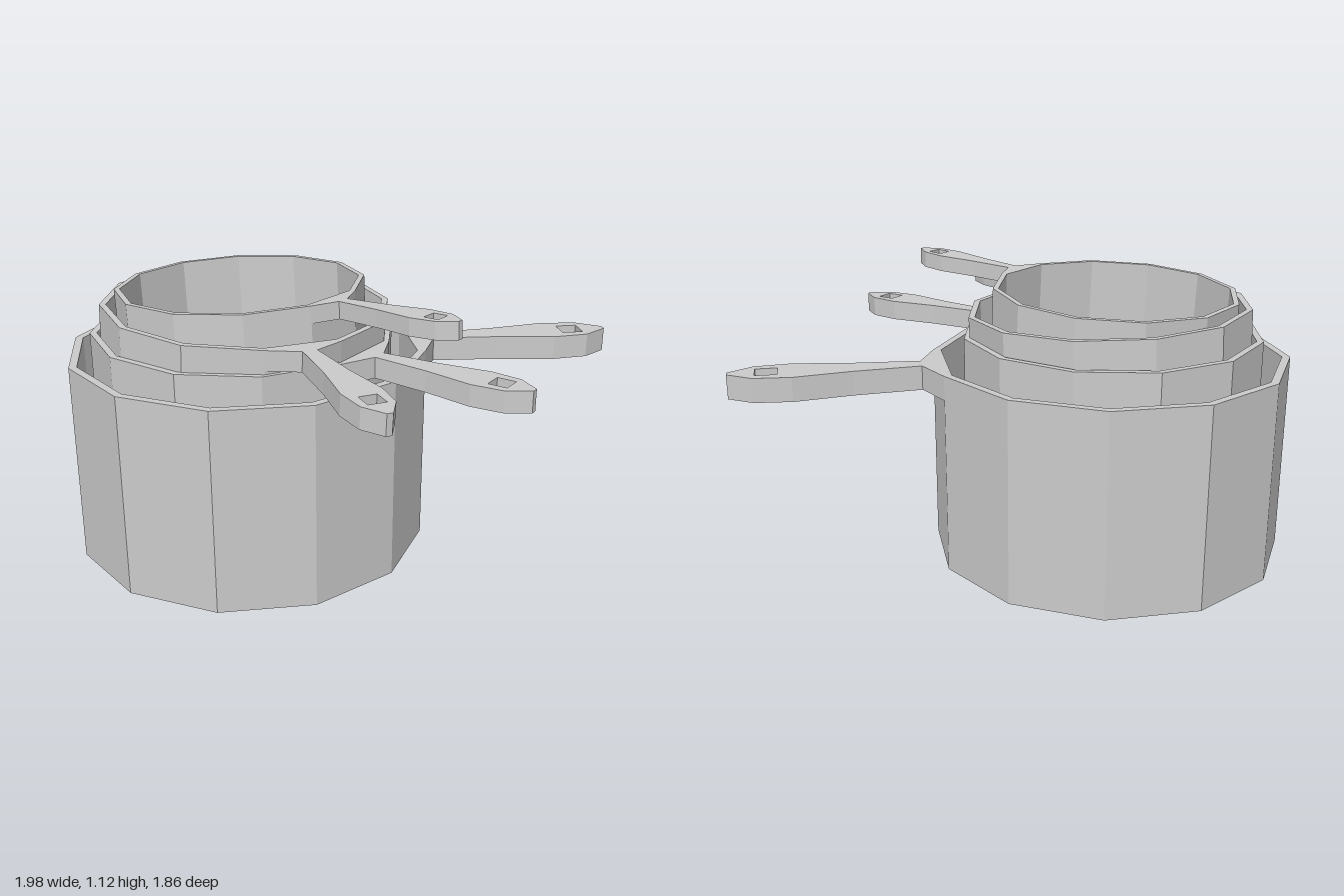
import * as THREE from 'three';

const DEG = Math.PI / 180;
const SIDES = 12;
const material = new THREE.MeshStandardMaterial({ color: 0xcccccc, flatShading: true });

// Twelve-sided open cup of radius 1, rim at y = 0, one flat side facing +x
function bowlGeometry() {
  const depth = 1.125, wall = 0.045;
  const profile = [
    [0, -depth], [1, -depth], [1, 0],
    [1 - wall, 0], [1 - wall, -depth + wall], [0, -depth + wall],
  ].map(([x, y]) => new THREE.Vector2(x, y));
  return new THREE.LatheGeometry(profile, SIDES, Math.PI / SIDES);
}

// Flat handle along +x: flared root, narrow neck, wide grip with a square hanging hole
function handleGeometry() {
  const a = Math.PI / SIDES;
  const edge = [
    [Math.cos(a), Math.sin(a)], [1.06, 0.05], [1.43, 0.08], [1.56, 0.1],
    [1.75, 0.13], [1.955, 0.11], [2.09, 0.02],
  ];
  const lower = edge.map(([x, y]) => new THREE.Vector2(x, -y));
  const upper = edge.map(([x, y]) => new THREE.Vector2(x, y)).reverse();
  const shape = new THREE.Shape([...lower, ...upper]);
  const h = 0.06, c = 1.885;
  shape.holes.push(new THREE.Path([
    new THREE.Vector2(c - h, -h), new THREE.Vector2(c - h, h),
    new THREE.Vector2(c + h, h), new THREE.Vector2(c + h, -h),
  ]));
  const geometry = new THREE.ExtrudeGeometry(shape, { depth: 0.135, bevelEnabled: false });
  return geometry.rotateX(Math.PI / 2);
}

export function createModel() {
  const model = new THREE.Group();
  model.name = 'nestedMeasuringCups';
  const bowl = bowlGeometry();
  const handle = handleGeometry();

  // Nested cups: the same cup at four sizes, each resting on the rim below
  const cups = [
    { name: 'largeCup', r: 0.718, rim: [-0.285, 0.81, 0.215], yaw: 49.4, tiltX: 0, tiltZ: 0 },
    { name: 'mediumCup', r: 0.603, rim: [-0.275, 0.9, 0.24], yaw: 6.3, tiltX: 0, tiltZ: 0 },
    { name: 'smallCup', r: 0.57, rim: [-0.256, 1.0, 0.24], yaw: -23.4, tiltX: -0.015, tiltZ: -0.035 },
    { name: 'smallestCup', r: 0.492, rim: [-0.29, 1.073, 0.24], yaw: 1.7, tiltX: 0, tiltZ: 0.046 },
  ];
  for (const { name, r, rim, yaw, tiltX, tiltZ } of cups) {
    const cup = new THREE.Group();
    cup.name = name;
    const bowlMesh = new THREE.Mesh(bowl, material);
    bowlMesh.name = 'bowl';
    const handleMesh = new THREE.Mesh(handle, material);
    handleMesh.name = 'handle';
    cup.add(bowlMesh, handleMesh);
    cup.scale.setScalar(r);
    cup.position.set(...rim);
    cup.rotation.set(tiltX, yaw * DEG, tiltZ, 'ZXY'); // turn first, then tilt
    model.add(cup);
  }
  return model;
}
